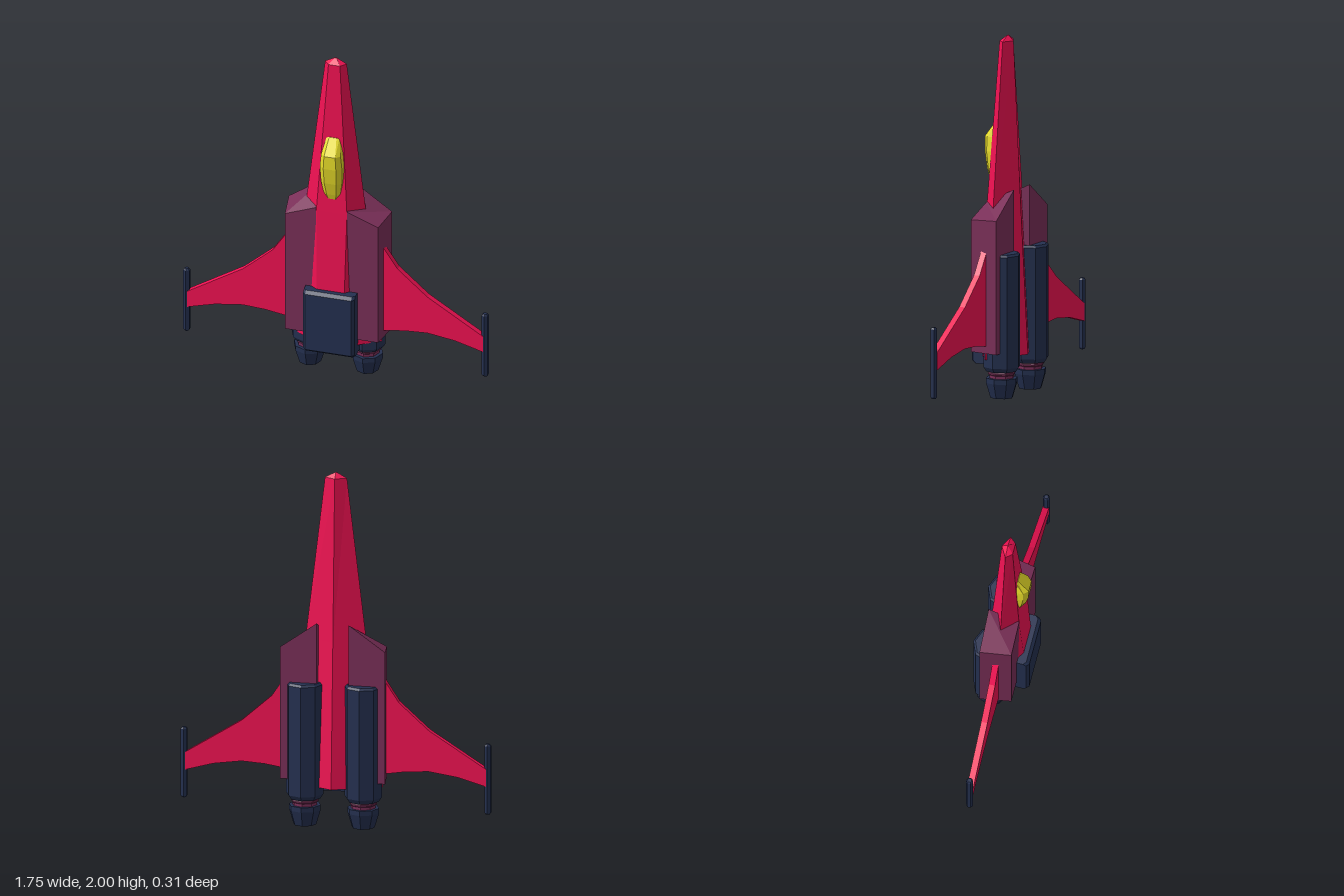
import * as THREE from 'three';

const paint = (color) => new THREE.MeshStandardMaterial({ color, flatShading: true });
const red = paint(0xf01152), purple = paint(0x7a2f58), navy = paint(0x243050), yellow = paint(0xeadf2a);

// Skin over cross-sections listed bottom to top, each running +z, +x, -z, -x
function loft(rings) {
  const n = rings[0].length, out = [];
  const tri = (a, b, c) => out.push(...a, ...b, ...c);
  for (let i = 0; i + 1 < rings.length; i++) {
    for (let j = 0; j < n; j++) {
      const k = (j + 1) % n, lo = rings[i], hi = rings[i + 1];
      tri(lo[j], lo[k], hi[k]);
      tri(lo[j], hi[k], hi[j]);
    }
  }
  const bottom = rings[0], top = rings[rings.length - 1];
  for (let j = 1; j + 1 < n; j++) {
    tri(bottom[0], bottom[j + 1], bottom[j]);
    tri(top[0], top[j], top[j + 1]);
  }
  const geo = new THREE.BufferGeometry();
  geo.setAttribute('position', new THREE.Float32BufferAttribute(out, 3));
  geo.computeVertexNormals();
  return geo;
}

// Faceted turned part from [radius, y] pairs, one corner pointing backwards
function turned(points, sides) {
  return new THREE.LatheGeometry(points.map(([r, y]) => new THREE.Vector2(r, y)), sides);
}

export function createModel() {
  const model = new THREE.Group();
  const add = (parent, name, geo, mat, x = 0, y = 0, z = 0) => {
    const mesh = new THREE.Mesh(geo, mat);
    mesh.name = name;
    mesh.position.set(x, y, z);
    parent.add(mesh);
    return mesh;
  };

  // Five-sided tapering fuselage: flat front, ridged sides and back
  const hull = (y, flat, wide, front, back) => [
    [-flat, y, front], [flat, y, front], [wide, y, 0], [0, y, -back], [-wide, y, 0],
  ];
  add(model, 'fuselage', loft([
    hull(0.22, 0.075, 0.265, 0.127, 0.125),
    hull(1.05, 0.088, 0.172, 0.085, 0.08),
    hull(1.97, 0.033, 0.062, 0.035, 0.035),
    hull(2.0, 0.004, 0.006, 0.003, 0.003),
  ]), red);

  // Canopy
  const glass = (y, w, z) => [
    [-w * 0.5, y, z], [w * 0.5, y, z], [w * 0.87, y, z - (z - 0.04) * 0.3],
    [w, y, 0.03], [-w, y, 0.03], [-w * 0.87, y, z - (z - 0.04) * 0.3],
  ];
  add(model, 'canopy', loft([
    glass(1.12, 0.035, 0.075), glass(1.17, 0.055, 0.092), glass(1.25, 0.069, 0.112),
    glass(1.35, 0.073, 0.126), glass(1.43, 0.064, 0.126), glass(1.52, 0.042, 0.062),
  ]), yellow);

  // Chamfered belly box on the front
  const panel = (y, w, front, chamfer) => [
    [-w + chamfer, y, front], [w - chamfer, y, front], [w, y, front - chamfer],
    [w, y, 0.04], [-w, y, 0.04], [-w, y, front - chamfer],
  ];
  add(model, 'frontBox', loft([
    panel(0.172, 0.148, 0.137, 0.016), panel(0.188, 0.148, 0.155, 0.016),
    panel(0.543, 0.148, 0.155, 0.016), panel(0.56, 0.148, 0.137, 0.016),
  ]), navy);

  // Wing outline, swept with curved edges
  const wingShape = new THREE.Shape([
    [0.24, 0.86], [0.28, 0.83], [0.36, 0.71], [0.53, 0.56], [0.85, 0.36], [0.85, 0.26],
    [0.69, 0.305], [0.53, 0.328], [0.4, 0.32], [0.24, 0.295],
  ].map(([x, y]) => new THREE.Vector2(x, y)));
  const wingGeo = new THREE.ExtrudeGeometry(wingShape, { depth: 0.036, bevelEnabled: false });
  wingGeo.translate(0, 0, -0.018);

  const nacelleGeo = turned([[0, 0.15], [0.088, 0.15], [0.105, 0.175], [0.105, 0.8], [0.093, 0.812], [0, 0.812]], 8);
  const collarGeo = turned([[0.07, 0.1], [0.07, 0.128], [0.078, 0.134], [0.078, 0.142], [0.07, 0.152]], 8);
  const nozzleGeo = turned([[0, 0.002], [0.062, 0.002], [0.064, 0], [0.068, 0.012], [0.09, 0.085], [0.09, 0.112], [0, 0.112]], 8);
  const glowGeo = new THREE.CylinderGeometry(0.06, 0.06, 0.004, 8);
  const rodGeo = turned([[0, 0.1], [0.012, 0.1], [0.02, 0.11], [0.02, 0.49], [0.012, 0.5], [0, 0.5]], 6);

  for (const [side, s] of [['left', 1], ['right', -1]]) {
    const half = new THREE.Group();
    half.name = side + 'Side';
    model.add(half);

    // Shoulder block with a sloping top, wider at the back
    const block = (pts) => {
      const ring = pts.map(([x, y, z]) => [x * s, y, z]);
      return s < 0 ? ring.reverse() : ring;
    };
    add(half, side + 'ShoulderBlock', loft([
      block([[0.09, 0.26, 0.087], [0.268, 0.26, 0.087], [0.297, 0.26, -0.087], [0.09, 0.26, -0.087]]),
      block([[0.09, 1.07, 0.087], [0.268, 1.0, 0.087], [0.297, 1.01, -0.087], [0.09, 1.155, -0.087]]),
    ]), purple);

    // Wing and tip rod
    const wing = add(half, side + 'Wing', wingGeo, red);
    if (s < 0) wing.rotation.y = Math.PI;
    add(half, side + 'WingtipRod', rodGeo, navy, s * 0.858);

    // Engine
    const engine = new THREE.Group();
    engine.name = side + 'Engine';
    engine.position.set(s * 0.165, 0, -0.05);
    half.add(engine);
    add(engine, 'nacelle', nacelleGeo, navy);
    add(engine, 'collar', collarGeo, purple);
    add(engine, 'nozzle', nozzleGeo, navy);
    add(engine, 'exhaustGlow', glowGeo, yellow, 0, 0.002, 0);
  }
  return model;
}
